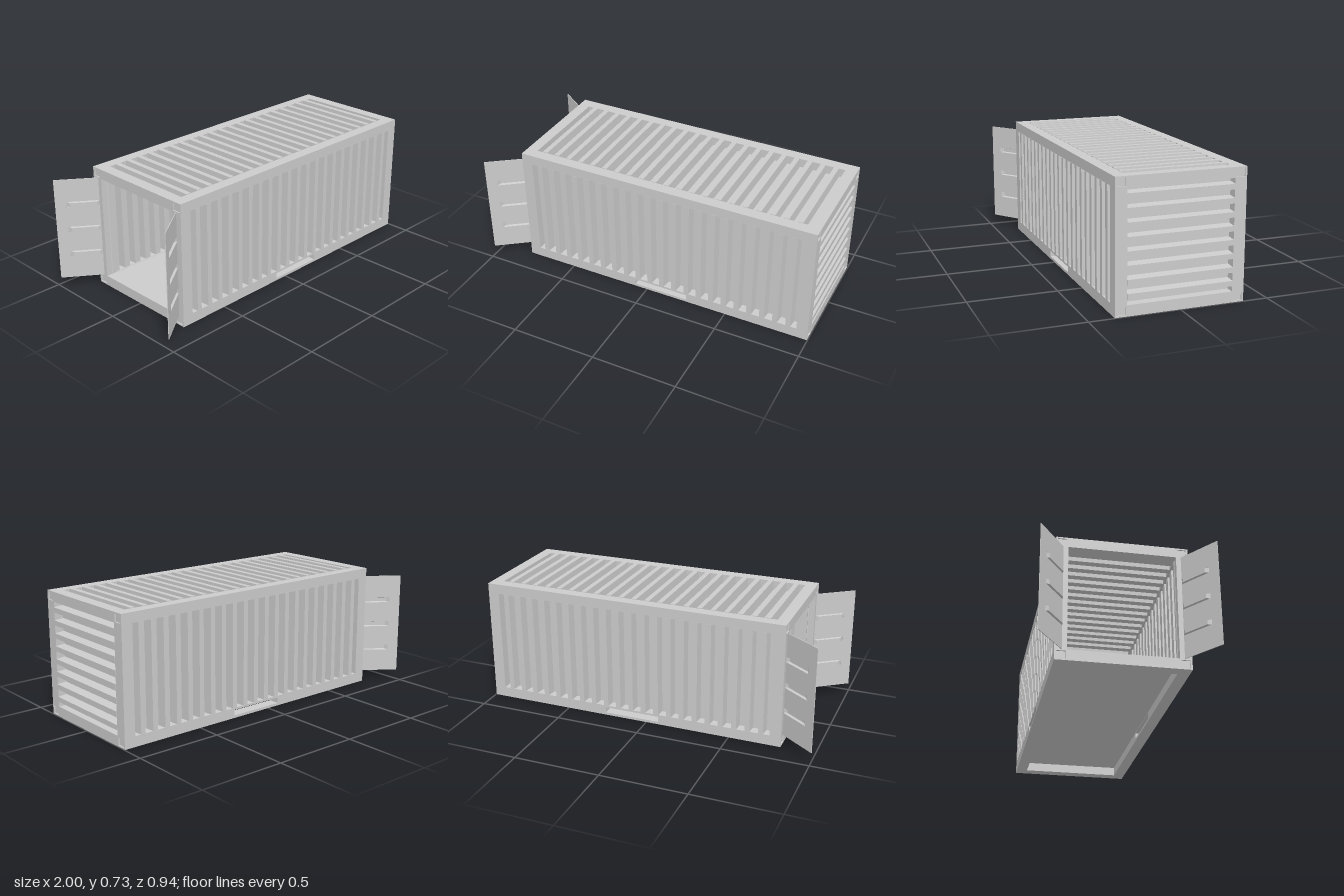
import * as THREE from 'three';

const X0 = -0.803, X1 = 0.997, H = 0.722, W = 0.36; // body extents (W is half width)
const R = 0.066;                                    // rail thickness
const CX = (X0 + X1) / 2;

const mat = new THREE.MeshStandardMaterial({ color: 0xcccccc, flatShading: true, side: THREE.DoubleSide });

function mesh(name, geometry, parent, x = 0, y = 0, z = 0) {
  const m = new THREE.Mesh(geometry, mat);
  m.name = name;
  m.position.set(x, y, z);
  parent.add(m);
  return m;
}

function rectPoints(x0, y0, x1, y1) {
  return [[x0, y0], [x1, y0], [x1, y1], [x0, y1]].map(p => new THREE.Vector2(...p));
}

// Rectangular plate with rectangular holes, extruded along +z
function plate(rect, holes, depth) {
  const shape = new THREE.Shape(rectPoints(...rect));
  for (const h of holes) shape.holes.push(new THREE.Path(rectPoints(...h).reverse()));
  return new THREE.ExtrudeGeometry(shape, { depth, bevelEnabled: false });
}

// Corrugated sheet: runs along x, ridges face +y, extruded along z (centred)
function corrugated(length, width, ridges, pitch) {
  const depth = 0.055, t = 0.004, half = 0.0145, slope = 0.005;
  const top = [[-length / 2, -depth]];
  for (let i = 0; i < ridges; i++) {
    const c = (i - (ridges - 1) / 2) * pitch;
    top.push([c - half - slope, -depth], [c - half, 0], [c + half, 0], [c + half + slope, -depth]);
  }
  top.push([length / 2, -depth]);
  const bottom = top.map(([x, y]) => [x, y - t]).reverse();
  const shape = new THREE.Shape([...top, ...bottom].map(p => new THREE.Vector2(...p)));
  const g = new THREE.ExtrudeGeometry(shape, { depth: width, bevelEnabled: false });
  return g.translate(0, 0, -width / 2);
}

// Pressed groove: open-fronted tray with tapered ends
function tray(w, h, d) {
  const g = new THREE.BoxGeometry(w, h, d);
  const index = Array.from(g.index.array);
  index.splice(24, 6); // drop the outer face
  g.setIndex(index);
  const p = g.attributes.position;
  for (let i = 0; i < p.count; i++) {
    if (p.getZ(i) < 0) p.setXY(i, p.getX(i) * (1 - 0.04 / w), p.getY(i) * (1 - 0.008 / h));
  }
  const flat = g.toNonIndexed();
  flat.computeVertexNormals();
  return flat;
}

// Square end frame with shallow corner sockets on its outer face
function endFrame(name, outward) {
  const frame = new THREE.Group();
  frame.name = name;
  const rect = [-W, 0, W, H], opening = [-W + R, 0.06, W - R, 0.665];
  const sockets = [];
  for (const x of [-0.35, 0.302]) for (const y of [0.008, 0.67]) sockets.push([x, y, x + 0.048, y + 0.044]);
  const skin = 0.008;
  mesh('framePosts', plate(rect, [opening], R - skin), frame);
  mesh('cornerSockets', plate(rect, [opening, ...sockets], skin), frame, 0, 0, R - skin);
  frame.rotation.y = outward * Math.PI / 2;
  frame.position.x = outward > 0 ? X1 - R : X0 + R;
  return frame;
}

// Thin door, hinge at local origin, running along -x, outer face +z
function makeDoor() {
  const door = new THREE.Group();
  door.name = 'door';
  const L = 0.295, t = 0.004, rows = [0.21, 0.362, 0.515];
  const u0 = -0.232, u1 = -0.045, h = 0.032, d = 0.014;
  mesh('doorPanel', plate([-L, 0.06, 0, 0.666], rows.map(y => [u0, y - h / 2, u1, y + h / 2]), t), door, 0, 0, -t / 2);
  for (const y of rows) mesh('doorGroove', tray(u1 - u0, h, d), door, (u0 + u1) / 2, y, t / 2 - d / 2);
  door.position.set(-0.762, 0, 0.293);
  door.rotation.y = 0.628;
  return door;
}

// One long side: rails, lift pocket, wall and door
function makeSide(name) {
  const side = new THREE.Group();
  side.name = name;
  const a = X0 + R, b = X1 - R, len = b - a;
  mesh('bottomRail', plate([a, 0, b, 0.06], [[-0.075, 0.015, 0.257, 0.048]], R), side, 0, 0, W - R);
  mesh('topRail', new THREE.BoxGeometry(len, H - 0.665, R), side, CX, (H + 0.665) / 2, W - R / 2);
  const wall = corrugated(len, 0.605, 21, 0.0783).rotateX(Math.PI / 2);
  mesh('sideWall', wall, side, CX, 0.3625, W + 0.001);
  side.add(makeDoor());
  return side;
}

export function createModel() {
  const model = new THREE.Group();
  model.name = 'shippingContainer';

  model.add(endFrame('closedEndFrame', 1), endFrame('doorEndFrame', -1));

  const front = makeSide('frontSide');
  const back = makeSide('backSide');
  back.scale.z = -1;
  model.add(front, back);

  // Roof, closed end wall and floor
  const len = X1 - X0 - 2 * R, inner = 2 * (W - R);
  mesh('roof', corrugated(len, inner, 21, 0.0783), model, CX, H + 0.003, 0);
  mesh('endWall', corrugated(0.605, inner, 8, 0.0738).rotateZ(-Math.PI / 2), model, X1 + 0.002, 0.3625, 0);
  mesh('floor', new THREE.BoxGeometry(len, 0.006, inner), model, CX, 0.055, 0);

  return model;
}
